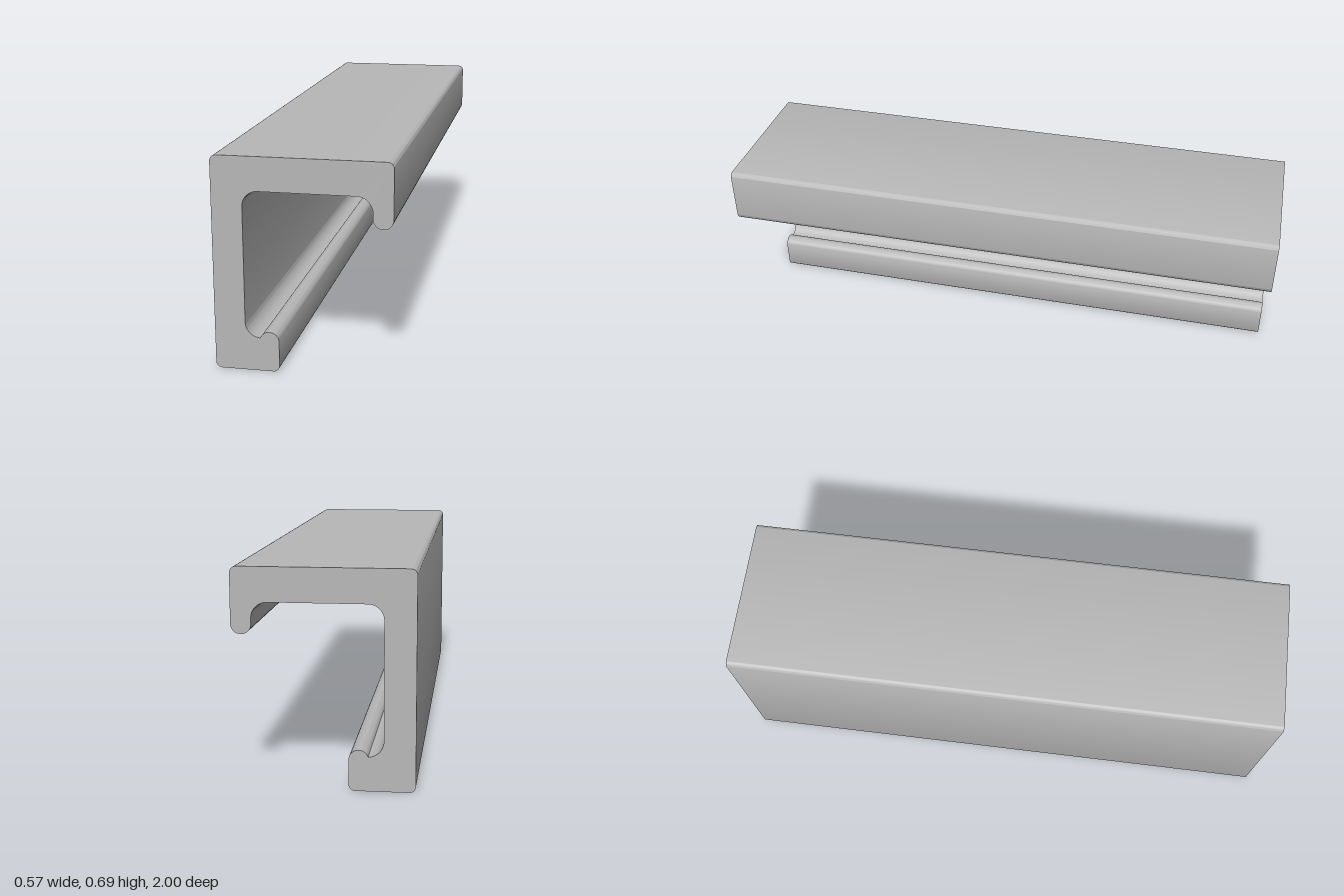
import * as THREE from 'three';
import { toCreasedNormals } from 'three/addons/utils/BufferGeometryUtils.js';

const PI = Math.PI;

// Hooked channel section: each arc is joined to the next by a straight edge.
// Columns: centre x, centre y, radius, start angle, end angle, clockwise
const arcs = [
  [-0.265, 0.02, 0.02, PI, 1.5 * PI, false], // foot, outer corner
  [-0.097, 0.02, 0.02, 1.5 * PI, 2 * PI, false], // foot, front corner
  [-0.108, 0.1, 0.031, 0, PI - 0.328, false], // rounded bead on the foot
  [-0.136, 0.16, 0.05, 1.5 * PI, PI, true], // lower inner fillet
  [-0.136, 0.536, 0.05, PI, PI / 2, true], // upper inner fillet
  [0.171, 0.536, 0.05, PI / 2, 0, true], // fillet beside the lip
  [0.253, 0.518, 0.032, PI, 2 * PI, false], // rounded lip end
  [0.265, 0.675, 0.02, 0, PI / 2, false], // top right corner
  [-0.265, 0.675, 0.02, PI / 2, PI, false], // top left corner
];

export function createModel() {
  const grey = new THREE.MeshStandardMaterial({ color: 0xb8b8b8 });
  grey.name = 'grey metal';

  const section = new THREE.Shape();
  for (const arc of arcs) section.absarc(...arc);
  section.closePath();

  // Straight extrusion along z, smooth on the rounds and sharp at the ends
  const solid = new THREE.ExtrudeGeometry(section, {
    depth: 2,
    bevelEnabled: false,
    curveSegments: 10,
  });
  solid.translate(0, 0, -1);

  const rail = new THREE.Mesh(toCreasedNormals(solid, 0.6), grey);
  rail.name = 'channelRail';

  const model = new THREE.Group();
  model.name = 'hookedChannelProfile';
  model.add(rail);
  return model;
}
